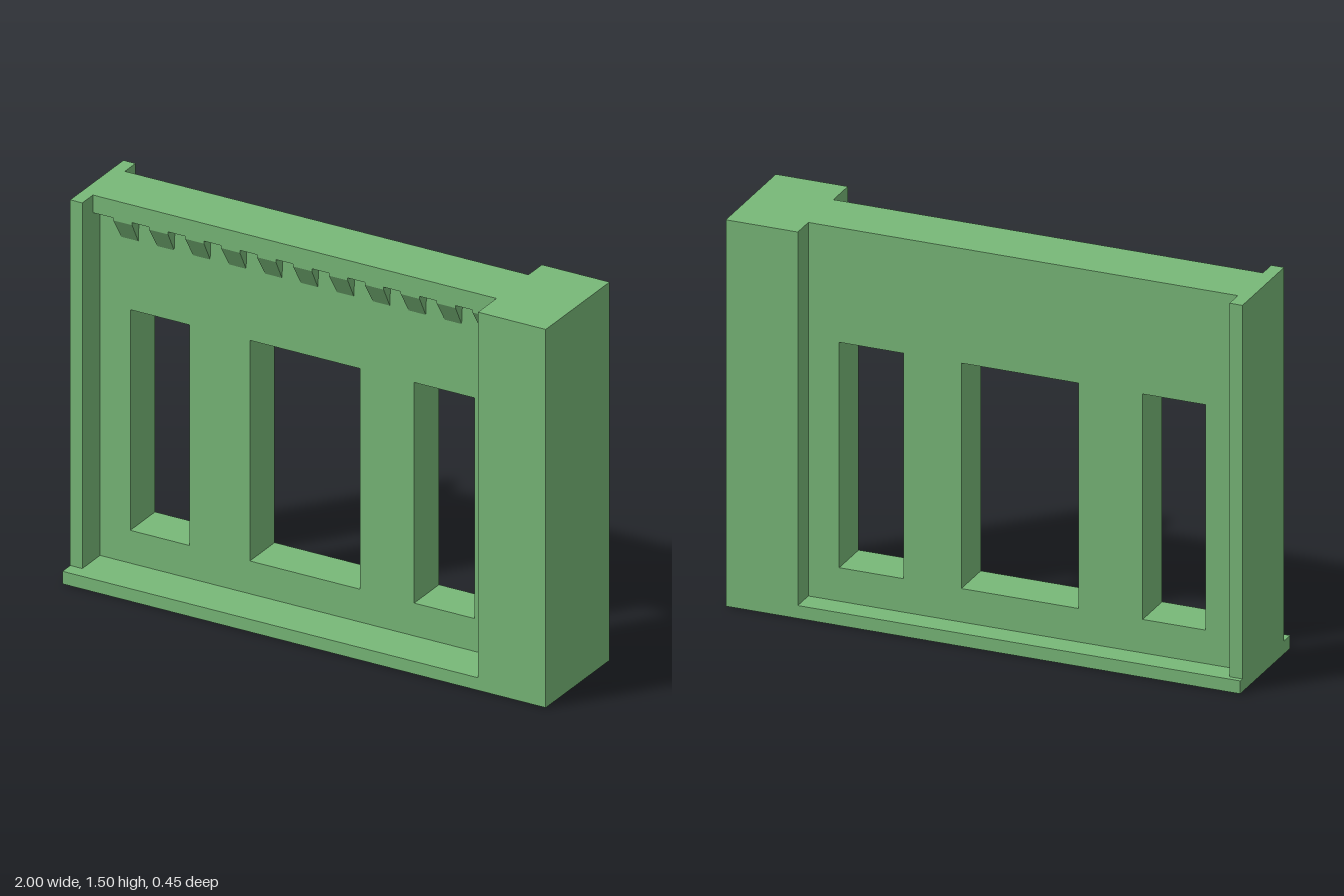
import * as THREE from 'three';

const HEIGHT = 1.5, PLINTH = 0.05;
const LEFT = -0.95, RIGHT = 0.72;      // ends of the wall panel
const BACK = -0.13, FACE = 0.045;      // wall panel faces
const BAND_Y = 1.43, BAND_Z = 0.095;   // underside and front of the top band

export function createModel() {
  const model = new THREE.Group();
  model.name = 'windowWall';
  const material = new THREE.MeshStandardMaterial({ color: 0x78b878 });

  const add = (name, geometry) => {
    const mesh = new THREE.Mesh(geometry, material);
    mesh.name = name;
    model.add(mesh);
    return mesh;
  };
  // Box given by its limits on each axis
  const block = (name, x0, x1, y0, y1, z0, z1) =>
    add(name, new THREE.BoxGeometry(x1 - x0, y1 - y0, z1 - z0))
      .position.set((x0 + x1) / 2, (y0 + y1) / 2, (z0 + z1) / 2);
  const rectangle = (path, x0, x1, y0, y1) =>
    path.moveTo(x0, y0).lineTo(x1, y0).lineTo(x1, y1).lineTo(x0, y1).closePath();

  // Base, end pillar and thin end strip
  block('plinth', -1, RIGHT, 0, PLINTH, -0.225, 0.225);
  block('pillar', RIGHT, 1, 0, HEIGHT, -0.225, 0.225);
  block('endStrip', -1, LEFT, PLINTH, HEIGHT, -0.205, 0.17);

  // Wall panel with three window openings
  const outline = new THREE.Shape();
  rectangle(outline, LEFT, RIGHT, PLINTH, HEIGHT);
  for (const [x0, x1] of [[-0.825, -0.58], [-0.33, 0.125], [0.35, 0.6]]) {
    const opening = new THREE.Path();
    rectangle(opening, x0, x1, 0.18, 1.055);
    outline.holes.push(opening);
  }
  add('wall', new THREE.ExtrudeGeometry(outline, { depth: FACE - BACK, bevelEnabled: false }))
    .position.z = BACK;

  // Projecting band along the top of the front
  block('topBand', LEFT, RIGHT, BAND_Y, HEIGHT, FACE, BAND_Z);

  // Corbels: boxes with the front bottom edge raised and the foot narrowed
  const corbel = new THREE.BoxGeometry(0.078, 1, BAND_Z - FACE).toNonIndexed();
  const p = corbel.attributes.position;
  for (let i = 0; i < p.count; i++) {
    const bottom = p.getY(i) < 0, front = p.getZ(i) > 0;
    p.setY(i, bottom ? (front ? -0.01 : -0.095) : 0);
    if (bottom && !front) p.setX(i, p.getX(i) * 0.9);
  }
  corbel.computeVertexNormals();
  for (let i = 0; i < 11; i++) {
    add('corbel', corbel).position.set(-0.827 + i * 0.1487, BAND_Y, (FACE + BAND_Z) / 2);
  }

  return model;
}
